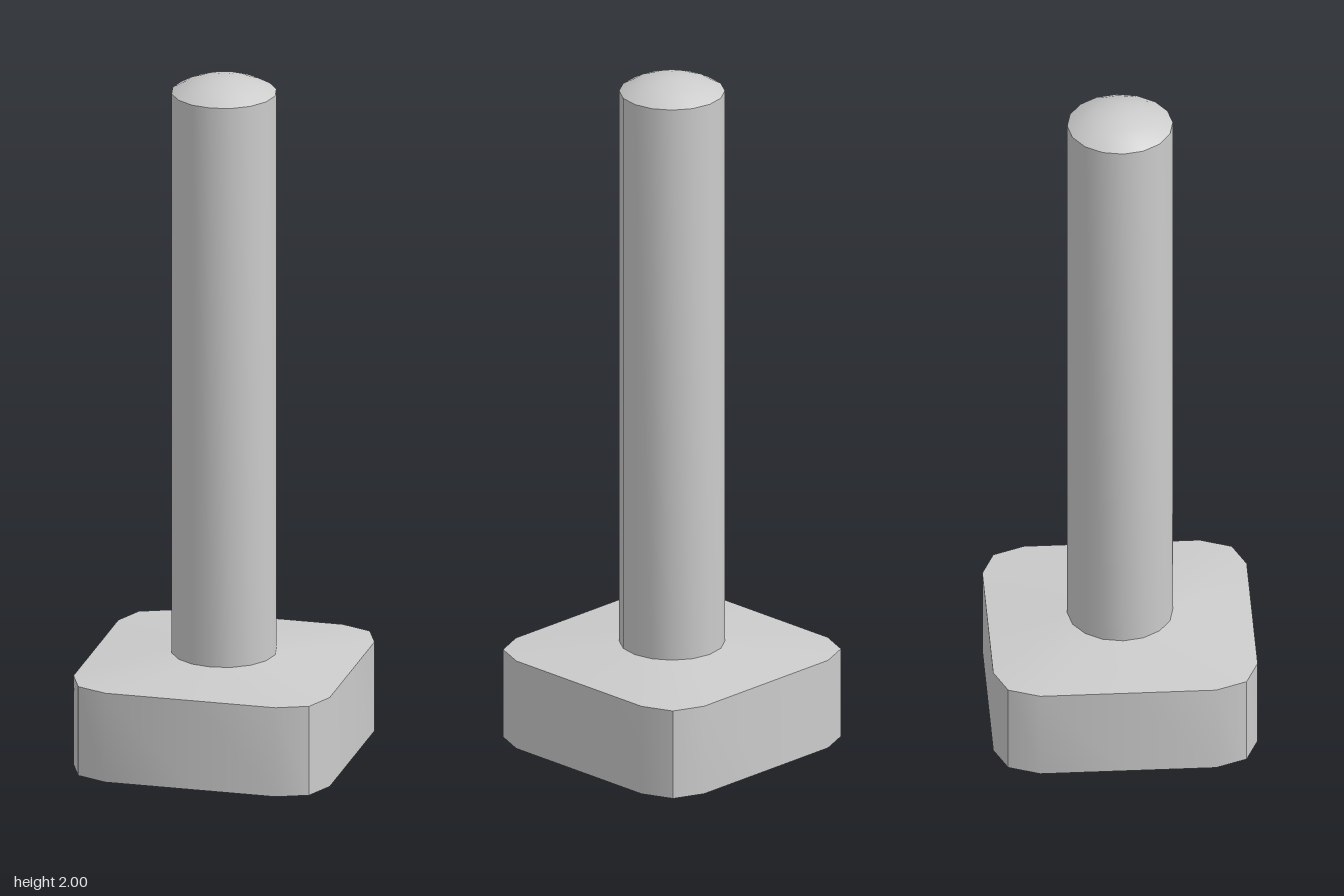
import * as THREE from 'three';
import { toCreasedNormals } from 'three/addons/utils/BufferGeometryUtils.js';

const SIDES = 16;

// Skin a stack of rings (bottom to top), each a list of SIDES points
function loft(rings) {
  const pos = rings.flat(2);
  const index = [];
  for (let r = 0; r < rings.length - 1; r++) {
    for (let i = 0; i < SIDES; i++) {
      const j = (i + 1) % SIDES;
      const a = r * SIDES + i, b = a + SIDES, c = (r + 1) * SIDES + j, d = r * SIDES + j;
      index.push(a, b, c, a, c, d);
    }
  }
  const geo = new THREE.BufferGeometry();
  geo.setAttribute('position', new THREE.Float32BufferAttribute(pos, 3));
  geo.setIndex(index);
  return toCreasedNormals(geo, 0.6);
}

function circleRing(radius, y) {
  return Array.from({ length: SIDES }, (_, i) => {
    const t = (i / SIDES) * Math.PI * 2;
    return [radius * Math.cos(t), y, radius * Math.sin(t)];
  });
}

// Rounded square: per quarter, one edge midpoint and three corner points
function squareRing(half, radius, y) {
  const c = half - radius, k = c + radius * Math.SQRT1_2;
  const quarter = [[half, 0], [half, c], [k, k], [c, half]];
  const ring = [];
  for (let q = 0; q < 4; q++) {
    for (let [x, z] of quarter) {
      for (let n = 0; n < q; n++) [x, z] = [-z, x];
      ring.push([x, y, z]);
    }
  }
  return ring;
}

export function createModel() {
  const group = new THREE.Group();
  const material = new THREE.MeshStandardMaterial({ color: 0xcccccc });
  const add = (name, geometry) => {
    const mesh = new THREE.Mesh(geometry, material);
    mesh.name = name;
    group.add(mesh);
  };

  // Square base with rounded corners and a gently sloping top
  add('base', loft([
    circleRing(0, 0),
    squareRing(0.373, 0.125, 0),
    squareRing(0.373, 0.125, 0.265),
    circleRing(0.149, 0.29),
  ]));

  // Round post with a shallow domed end
  const radius = 0.149, domeHeight = 0.045, top = 2;
  const R = (radius ** 2 + domeHeight ** 2) / (2 * domeHeight);
  const sweep = Math.asin(radius / R);
  const profile = [new THREE.Vector2(radius, 0.29)];
  for (let i = 4; i >= 0; i--) {
    const t = (sweep * i) / 4;
    profile.push(new THREE.Vector2(R * Math.sin(t), top - R + R * Math.cos(t)));
  }
  add('post', toCreasedNormals(new THREE.LatheGeometry(profile, SIDES), 0.6));

  return group;
}
